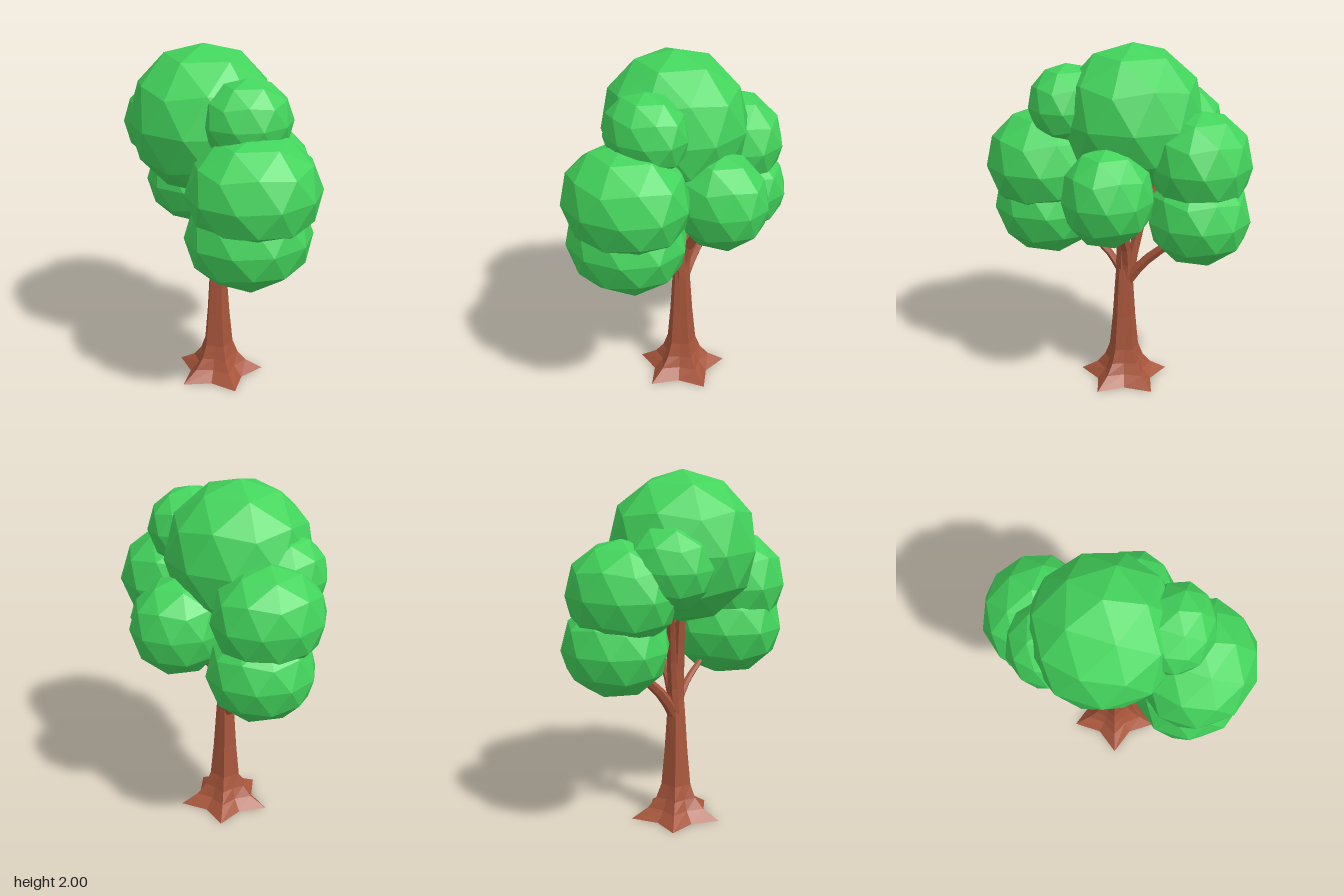
import * as THREE from 'three';

const leafMaterial = new THREE.MeshStandardMaterial({ color: 0x43d45c, flatShading: true });
const barkMaterial = new THREE.MeshStandardMaterial({ color: 0xa8563b, flatShading: true });

// Faceted leaf ball: icosphere with a vertex at the top, stretched per axis
function leafBall(name, [x, y, z], [rx, ry, rz]) {
  const geometry = new THREE.IcosahedronGeometry(1, 1);
  geometry.rotateZ(-Math.atan(2 / (1 + Math.sqrt(5))));
  geometry.scale(rx, ry, rz);
  geometry.computeVertexNormals();
  const mesh = new THREE.Mesh(geometry, leafMaterial);
  mesh.name = name;
  mesh.position.set(x, y, z);
  return mesh;
}

// Trunk: ten-sided column whose foot flares into a five-pointed star
function trunk() {
  // height, radius at the ridges, valley radius as a fraction of it (top to bottom)
  const rows = [
    [0.7, 0.048, 0.85], [0.64, 0.053, 0.84], [0.4, 0.069, 0.82], [0.2, 0.088, 0.8],
    [0.12, 0.118, 0.75], [0.06, 0.167, 0.68], [0, 0.265, 0.62],
  ];
  const n = rows.length - 1;
  const geometry = new THREE.CylinderGeometry(1, 1, 1, 10, n);
  const p = geometry.attributes.position;
  for (let i = 0; i < p.count; i++) {
    const [height, ridge, valley] = rows[Math.round((0.5 - p.getY(i)) * n)];
    const corner = Math.round(Math.atan2(p.getX(i), p.getZ(i)) / (Math.PI / 5));
    const r = corner % 2 === 0 ? ridge : ridge * valley;
    p.setXYZ(i, p.getX(i) * r, height, p.getZ(i) * r);
  }
  geometry.computeVertexNormals();
  const mesh = new THREE.Mesh(geometry, barkMaterial);
  mesh.name = 'trunk';
  mesh.position.set(-0.05, 0, -0.033);
  return mesh;
}

// Branch: six-sided tube that tapers along a curve
function branch(name, points, startRadius, endRadius) {
  const segments = 5, sides = 6;
  const curve = new THREE.CatmullRomCurve3(points.map(q => new THREE.Vector3(...q)));
  const geometry = new THREE.TubeGeometry(curve, segments, 1, sides);
  const p = geometry.attributes.position;
  const v = new THREE.Vector3();
  for (let i = 0; i < p.count; i++) {
    const t = Math.floor(i / (sides + 1)) / segments;
    const centre = curve.getPointAt(t);
    v.fromBufferAttribute(p, i).sub(centre);
    v.multiplyScalar(THREE.MathUtils.lerp(startRadius, endRadius, t)).add(centre);
    p.setXYZ(i, v.x, v.y, v.z);
  }
  geometry.computeVertexNormals();
  const mesh = new THREE.Mesh(geometry, barkMaterial);
  mesh.name = name;
  return mesh;
}

export function createModel() {
  const tree = new THREE.Group();
  tree.name = 'tree';

  const wood = new THREE.Group();
  wood.name = 'wood';
  wood.add(
    trunk(),
    branch('mainBranch', [[-0.05, 0.6, -0.03], [-0.055, 0.85, -0.025], [-0.1, 1.3, -0.05]], 0.045, 0.025),
    branch('leftBranch', [[-0.045, 0.62, -0.045], [-0.02, 0.82, -0.055], [0.18, 1.12, -0.04]], 0.035, 0.02),
    branch('rightBranch', [[-0.055, 0.62, -0.055], [-0.075, 0.9, -0.1], [-0.2, 1.42, -0.26]], 0.035, 0.018),
    branch('backBranch', [[-0.05, 0.63, -0.06], [-0.05, 0.75, -0.15], [-0.04, 0.95, -0.38]], 0.035, 0.022),
    branch('frontBranch', [[-0.05, 0.69, -0.01], [-0.05, 0.79, 0.06], [-0.05, 0.9, 0.2]], 0.024, 0.015),
  );

  const foliage = new THREE.Group();
  foliage.name = 'foliage';
  foliage.add(
    leafBall('crown', [-0.115, 1.585, -0.06], [0.415, 0.415, 0.41]),
    leafBall('frontMiddleLeaves', [-0.03, 1.32, 0.43], [0.368, 0.312, 0.33]),
    leafBall('frontLowerLeaves', [-0.05, 1.07, 0.41], [0.347, 0.297, 0.32]),
    leafBall('frontUpperLeaves', [-0.01, 1.655, 0.29], [0.25, 0.23, 0.21]),
    leafBall('leftLeaves', [0.24, 1.23, -0.03], [0.28, 0.28, 0.255]),
    leafBall('rightLeaves', [-0.24, 1.52, -0.31], [0.242, 0.24, 0.235]),
    leafBall('backUpperLeaves', [-0.045, 1.38, -0.47], [0.32, 0.287, 0.285]),
    leafBall('backLowerLeaves', [0, 1.085, -0.475], [0.3, 0.27, 0.288]),
  );

  tree.add(wood, foliage);
  return tree;
}
